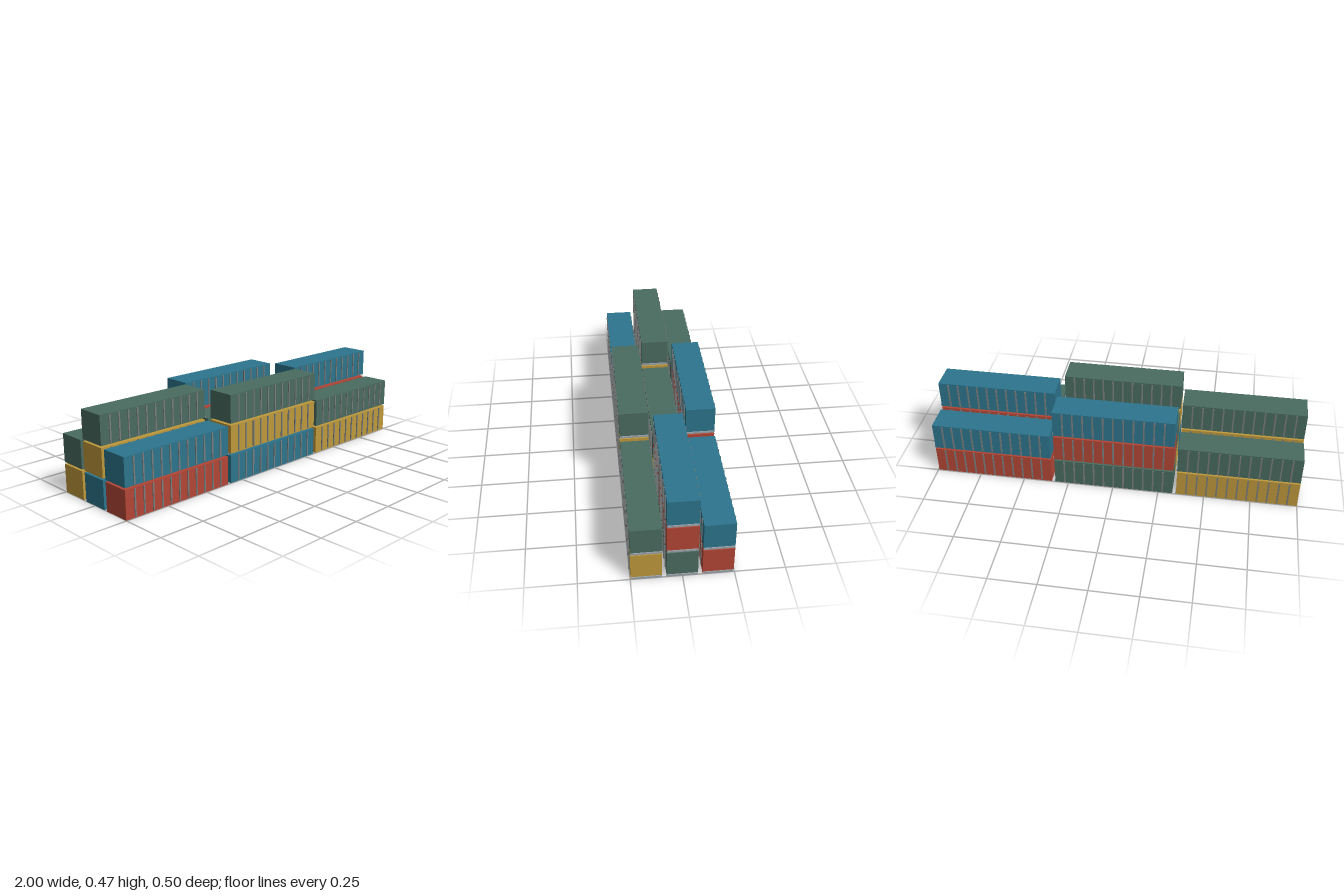
import * as THREE from 'three';

const LENGTH = 0.651, SIZE = 0.151;               // container body
const STEP_X = 0.672, STEP_Y = 0.161, STEP_Z = 0.1723; // stacking pitch
const SILL = 0.005, PANELS = 12;

const paint = (name, color) => {
  const m = new THREE.MeshStandardMaterial({ color });
  m.name = name;
  return m;
};

export function createModel() {
  const mats = {
    g: paint('green paint', 0x4a6c60),
    b: paint('blue paint', 0x2d758d),
    y: paint('yellow paint', 0xbe983b),
    r: paint('red paint', 0xb34636),
  };
  const ribGrey = paint('rib grey', 0x7a7f80);
  const sillGrey = paint('sill grey', 0x9aa3aa);

  const bodyGeo = new THREE.BoxGeometry(LENGTH, SIZE, SIZE);
  const ribGeo = new THREE.BoxGeometry(0.008, 0.14, 0.16);
  const sillGeo = new THREE.BoxGeometry(SILL, 0.01, 0.147);

  const add = (parent, name, geo, mat, x, y) => {
    const mesh = new THREE.Mesh(geo, mat);
    mesh.name = name;
    mesh.position.set(x, y, 0);
    parent.add(mesh);
  };

  // one container, standing on its own y = 0
  function container(mat) {
    const c = new THREE.Group();
    c.name = 'container';
    add(c, 'body', bodyGeo, mat, 0, SIZE / 2);
    // each rib passes through the body and stands proud of both long sides
    for (let i = 1; i < PANELS; i++) {
      add(c, 'rib', ribGeo, ribGrey, (i / PANELS - 0.5) * LENGTH, 0.076);
    }
    add(c, 'sill', sillGeo, sillGrey, LENGTH / 2 + SILL / 2, 0.005);
    return c;
  }

  // stacks from bottom to top; rows run back to front, columns along x
  const rows = [
    ['yg', 'grb', 'rb'],
    ['byg', 'yg', 'grb'],
    ['rb', 'byg', 'yg'],
  ];
  const model = new THREE.Group();
  model.name = 'containerStacks';
  rows.forEach((row, r) => row.forEach((stack, col) => {
    [...stack].forEach((key, level) => {
      const c = container(mats[key]);
      c.position.set((col - 1) * STEP_X - SILL / 2, level * STEP_Y, (r - 1) * STEP_Z);
      model.add(c);
    });
  }));
  return model;
}
